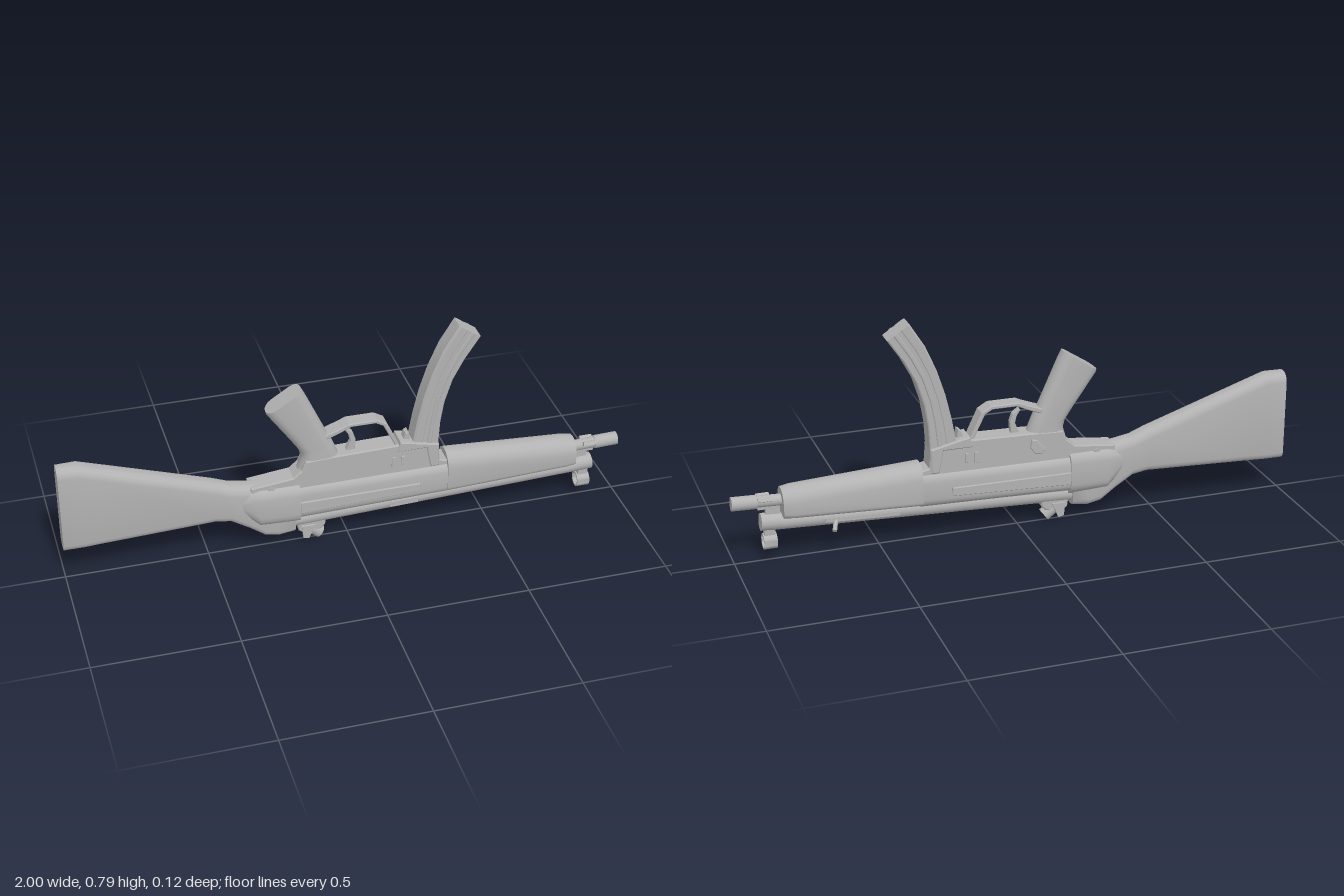
import * as THREE from 'three';
import { toCreasedNormals } from 'three/addons/utils/BufferGeometryUtils.js';

export function createModel() {
  const root = new THREE.Group();
  root.name = 'invertedCarbine';
  const grey = new THREE.MeshStandardMaterial({ color: 0xb2b2b2 });
  grey.name = 'plain grey';

  const add = (name, geo, x = 0, y = 0, z = 0) => {
    const mesh = new THREE.Mesh(geo, grey);
    mesh.name = name;
    mesh.position.set(x, y, z);
    root.add(mesh);
    return mesh;
  };

  // Rounded-rectangle loft. Each section: edge A (x, y), edge B (x, y), half width in z.
  const loft = (name, sections, rA, rB = rA, steps = 4) => {
    const pos = [], idx = [];
    const n = 4 * (steps + 1);
    for (const [ax, ay, bx, by, w] of sections) {
      const mx = (ax + bx) / 2, my = (ay + by) / 2;
      const h = Math.hypot(bx - ax, by - ay) / 2;
      const ux = (bx - ax) / (2 * h), uy = (by - ay) / (2 * h);
      for (let q = 0; q < 4; q++) {
        const r = Math.min(q < 2 ? rB : rA, w * 0.999, h * 0.999);
        for (let i = 0; i <= steps; i++) {
          const a = (q + i / steps) * Math.PI / 2;
          const z = (q === 0 || q === 3 ? 1 : -1) * (w - r) + r * Math.cos(a);
          const u = (q < 2 ? 1 : -1) * (h - r) + r * Math.sin(a);
          pos.push(mx + ux * u, my + uy * u, z);
        }
      }
    }
    const last = (sections.length - 1) * n;
    for (let s = 0; s < last; s += n) {
      for (let j = 0; j < n; j++) {
        const k = (j + 1) % n;
        idx.push(s + j, s + n + j, s + k, s + k, s + n + j, s + n + k);
      }
    }
    for (let j = 1; j < n - 1; j++) {
      idx.push(0, j, j + 1, last, last + j + 1, last + j);
    }
    const geo = new THREE.BufferGeometry();
    geo.setAttribute('position', new THREE.Float32BufferAttribute(pos, 3));
    geo.setIndex(idx);
    return add(name, toCreasedNormals(geo, 0.6));
  };
  // Upright sections for parts that run along x: [x, bottom, top, half width]
  const along = (name, rows, rA, rB) =>
    loft(name, rows.map(([x, b, t, w]) => [x, b, x, t, w]), rA, rB);

  // Side outline extruded evenly about z0
  const plate = (name, pts, half, z0 = 0, bevel = 0.004) => {
    const geo = new THREE.ExtrudeGeometry(
      new THREE.Shape(pts.map(p => new THREE.Vector2(...p))),
      { depth: 2 * (half - bevel), bevelEnabled: bevel > 0, bevelSize: bevel,
        bevelThickness: bevel, bevelOffset: -bevel, bevelSegments: 1 });
    return add(name, geo.translate(0, 0, z0 - half + bevel));
  };
  const rod = (name, a, b, r, sides = 16) => {
    const A = new THREE.Vector3(...a), d = new THREE.Vector3(...b).sub(A);
    const m = add(name, new THREE.CylinderGeometry(r, r, d.length(), sides));
    m.position.copy(A).addScaledVector(d, 0.5);
    m.quaternion.setFromUnitVectors(new THREE.Vector3(0, 1, 0), d.normalize());
    return m;
  };
  // Ring with its hole along x
  const ring = (name, x, y, outer, inner, width) => {
    const s = new THREE.Shape().absarc(0, 0, outer, 0, Math.PI * 2);
    s.holes.push(new THREE.Path().absarc(0, 0, inner, 0, Math.PI * 2, true));
    const geo = new THREE.ExtrudeGeometry(s, { depth: width, bevelEnabled: false, curveSegments: 10 });
    geo.translate(0, 0, -width / 2).rotateY(Math.PI / 2);
    return add(name, toCreasedNormals(geo, 0.7), x, y, 0);
  };

  // Shoulder stock and the swollen cap that joins it to the receiver
  along('stock', [
    [-1, 0.125, 0.455, 0.037], [-0.93, 0.127, 0.455, 0.04], [-0.875, 0.13, 0.437, 0.04],
    [-0.475, 0.147, 0.305, 0.04], [-0.42, 0.138, 0.283, 0.04], [-0.355, 0.097, 0.272, 0.04],
    [-0.3, 0.057, 0.272, 0.04], [-0.255, 0.047, 0.275, 0.038], [-0.195, 0.055, 0.28, 0.038],
  ], 0.025, 0.035);
  along('receiverCap', [
    [-0.39, 0.17, 0.235, 0.036], [-0.35, 0.13, 0.258, 0.052], [-0.32, 0.105, 0.262, 0.058],
    [-0.18, 0.1, 0.262, 0.058],
  ], 0.045, 0.04);

  // Receiver, cocking tube and trigger housing
  along('receiver', [[-0.2, 0.115, 0.25, 0.052], [0.36, 0.13, 0.255, 0.052]], 0.03, 0.035);
  along('tubeBridge', [[-0.2, 0.08, 0.17, 0.024], [0.83, 0.135, 0.19, 0.024]], 0.005);
  rod('cockingTube', [-0.2, 0.094, 0], [0.87, 0.138, 0], 0.029);
  plate('triggerHousing', [
    [-0.35, 0.2], [-0.35, 0.268], [-0.2, 0.285], [-0.17, 0.31], [-0.155, 0.345],
    [-0.035, 0.35], [0.18, 0.355], [0.32, 0.335], [0.325, 0.27], [0.355, 0.262], [0.355, 0.2],
  ], 0.038);
  plate('magazineWell', [[0.17, 0.33], [0.18, 0.368], [0.215, 0.362], [0.32, 0.338],
    [0.32, 0.25], [0.29, 0.25], [0.275, 0.33]], 0.043);
  for (const s of [1, -1]) {
    plate('receiverRib', [[-0.18, 0.148], [0.25, 0.166], [0.25, 0.196], [-0.18, 0.193]], 0.006, s * 0.053, 0.002);
    rod('housingPin', [-0.28, 0.252, s * 0.03], [-0.28, 0.252, s * 0.043], 0.012, 10);
    plate('catch', [[0.15, 0.27], [0.165, 0.27], [0.165, 0.31], [0.15, 0.31]], 0.003, s * 0.039, 0.001);
    plate('catch', [[0.185, 0.275], [0.197, 0.275], [0.197, 0.31], [0.185, 0.31]], 0.003, s * 0.039, 0.001);
  }
  plate('selectorLever', [[-0.09, 0.29], [-0.075, 0.273], [-0.05, 0.277], [-0.035, 0.3],
    [-0.04, 0.33], [-0.06, 0.325]], 0.005, -0.042, 0.002);

  // Pistol grip
  loft('grip', [
    [-0.02, 0.3, -0.18, 0.3, 0.036], [-0.035, 0.35, -0.165, 0.352, 0.036],
    [-0.055, 0.4, -0.172, 0.378, 0.036], [-0.08, 0.45, -0.2, 0.42, 0.036],
    [-0.147, 0.597, -0.283, 0.54, 0.038], [-0.163, 0.628, -0.285, 0.55, 0.038],
  ], 0.035);

  // Trigger and guard
  plate('triggerGuard', [
    [-0.09, 0.43], [-0.03, 0.452], [0, 0.465], [0.1, 0.465], [0.135, 0.445], [0.18, 0.35],
    [0.165, 0.35], [0.122, 0.437], [0.095, 0.452], [0.008, 0.452], [-0.028, 0.435], [-0.08, 0.415],
  ], 0.028, 0, 0.003);
  plate('trigger', [[-0.01, 0.34], [0.025, 0.34], [0.028, 0.39], [0.018, 0.42], [-0.005, 0.438],
    [-0.01, 0.432], [0.004, 0.41], [0.01, 0.385]], 0.011, 0, 0.002);
  plate('magazineRelease', [[0.19, 0.34], [0.205, 0.385], [0.216, 0.39], [0.225, 0.34]], 0.018, 0, 0.002);

  // Curved magazine with side ribs
  const mag = [
    [0.318, 0.3, 0.215, 0.3], [0.32, 0.335, 0.225, 0.345], [0.325, 0.42, 0.242, 0.44],
    [0.338, 0.5, 0.263, 0.53], [0.365, 0.585, 0.292, 0.62], [0.405, 0.66, 0.33, 0.708],
    [0.46, 0.742, 0.383, 0.793],
  ];
  loft('magazine', mag.map(m => [...m, 0.033]), 0.004, 0.004, 1);
  const across = (lo, hi, w) => mag.slice(1).map(([ax, ay, bx, by]) => [
    ax + (bx - ax) * lo, ay + (by - ay) * lo, ax + (bx - ax) * hi, ay + (by - ay) * hi, w]);
  loft('magazineRibs', across(0.28, 0.45, 0.037), 0.003, 0.003, 1);
  loft('magazineRearBand', across(0.62, 0.95, 0.035), 0.002, 0.002, 1);

  // Handguard
  along('handguard', [
    [0.352, 0.138, 0.288, 0.055], [0.8, 0.157, 0.264, 0.053], [0.832, 0.16, 0.258, 0.05],
  ], 0.018, 0.052);

  // Barrel with three lugs
  rod('barrel', [0.8, 0.213, 0], [0.93, 0.218, 0], 0.02);
  rod('muzzle', [0.915, 0.217, 0], [1, 0.22, 0], 0.024);
  for (let i = 0; i < 3; i++) {
    const a = Math.PI / 6 + i * Math.PI * 2 / 3;
    const lug = add('barrelLug', new THREE.BoxGeometry(0.045, 0.012, 0.014),
      0.89, 0.217 + Math.sin(a) * 0.023, Math.cos(a) * 0.023);
    lug.rotation.x = Math.PI / 2 - a;
  }

  // Front sight: clamp, neck, hood and post
  rod('sightClamp', [0.835, 0.138, 0], [0.905, 0.142, 0], 0.03);
  add('clampBridge', new THREE.BoxGeometry(0.05, 0.05, 0.016), 0.862, 0.185, 0);
  add('sightNeck', new THREE.BoxGeometry(0.036, 0.03, 0.026), 0.876, 0.105, 0);
  ring('sightHood', 0.876, 0.069, 0.028, 0.022, 0.046);
  add('sightPost', new THREE.BoxGeometry(0.012, 0.04, 0.007), 0.876, 0.078, 0);

  // Rear sight: base, cheeks and tilted drum
  plate('sightBase', [[-0.185, 0.09], [-0.18, 0.05], [-0.16, 0.035], [-0.1, 0.045],
    [-0.085, 0.06], [-0.08, 0.09]], 0.022);
  for (const s of [1, -1]) {
    plate('sightCheek', [[-0.17, 0.07], [-0.165, 0.02], [-0.145, 0.015], [-0.13, 0.05], [-0.12, 0.07]],
      0.005, s * 0.023, 0.001);
  }
  rod('sightDrum', [-0.13, 0.045, 0], [-0.099, 0.021, 0], 0.024, 14);

  // Cocking handle and its slot cover
  rod('cockingHandle', [0.65, 0.125, -0.02], [0.665, 0.098, -0.058], 0.008, 10);
  const slot = add('cockingSlot', new THREE.BoxGeometry(0.26, 0.014, 0.006), 0.56, 0.122, -0.028);
  slot.rotation.z = 0.04;
  const port = add('tubeBand', new THREE.BoxGeometry(0.1, 0.02, 0.006), 0.2, 0.108, 0.028);
  port.rotation.z = 0.04;

  // Slight yaw of the whole body
  root.rotation.y = -0.005;
  return root;
}
